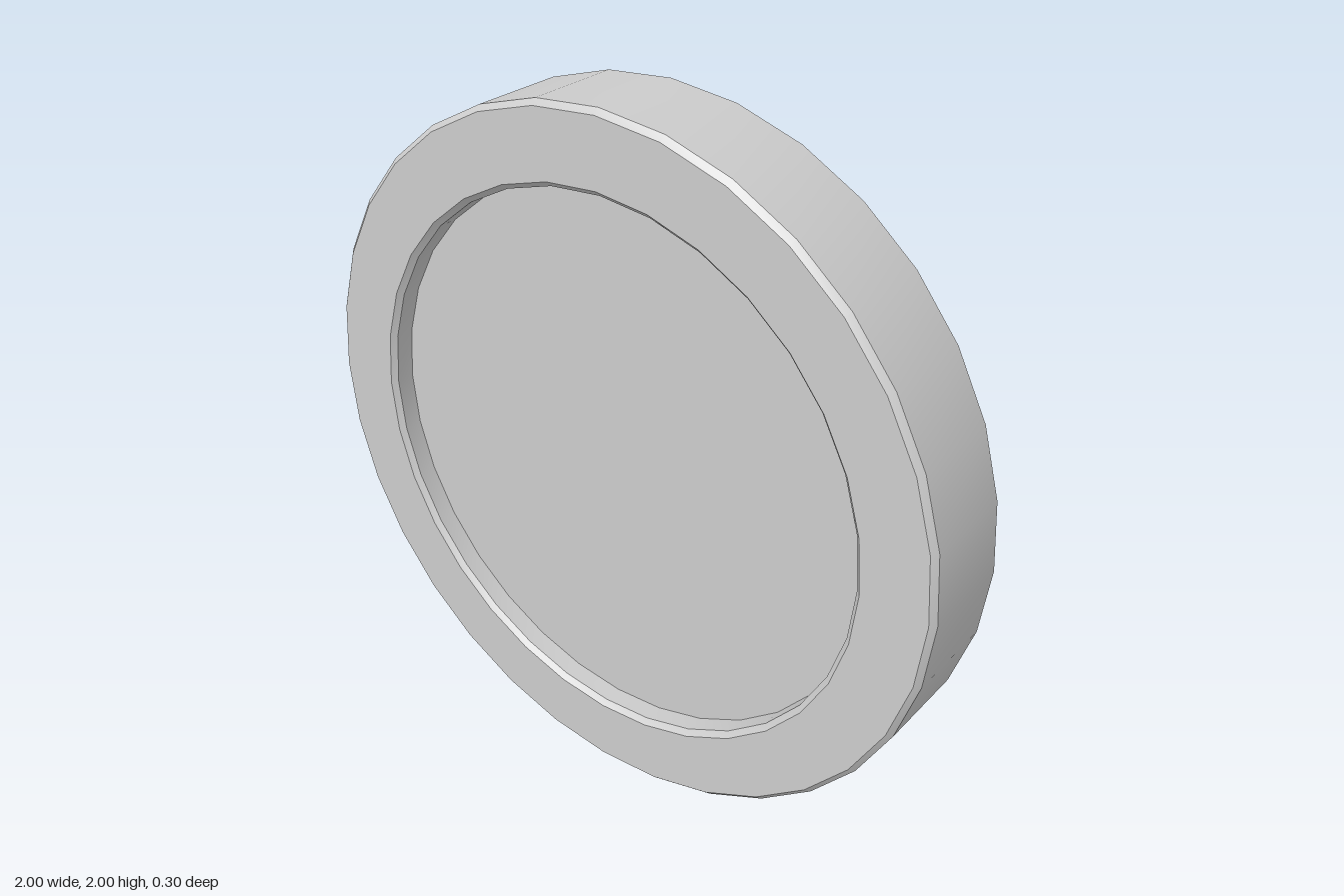
import * as THREE from 'three';
import { toCreasedNormals } from 'three/addons/utils/BufferGeometryUtils.js';

const SIDES = 32;
const RADIUS = 1, INNER = 0.785, HALF = 0.15, BEVEL = 0.015, RECESS = 0.07;

export function createModel() {
  const group = new THREE.Group();
  group.name = 'roundDisc';
  const material = new THREE.MeshStandardMaterial({ color: 0xcccccc });
  const floor = HALF - RECESS;

  // Bevelled rim: half of the profile, from the recess floor round to the outer edge
  const half = [
    [INNER, floor],
    [INNER, HALF - BEVEL],
    [INNER + BEVEL, HALF],
    [RADIUS - BEVEL, HALF],
    [RADIUS, HALF - BEVEL],
  ];
  const back = half.map(([r, h]) => new THREE.Vector2(r, -h));
  const front = half.map(([r, h]) => new THREE.Vector2(r, h)).reverse();
  const rimGeometry = toCreasedNormals(
    new THREE.LatheGeometry([...back, ...front], SIDES).rotateX(Math.PI / 2), 0.5);
  const rim = new THREE.Mesh(rimGeometry, material);
  rim.name = 'rim';
  rim.position.y = RADIUS;
  group.add(rim);

  // Flat recessed panels, one on each face
  for (const side of [1, -1]) {
    const panel = new THREE.Mesh(new THREE.CircleGeometry(INNER, SIDES), material);
    panel.name = side > 0 ? 'frontPanel' : 'backPanel';
    panel.position.set(0, RADIUS, side * floor);
    if (side < 0) panel.rotation.y = Math.PI;
    group.add(panel);
  }
  return group;
}
